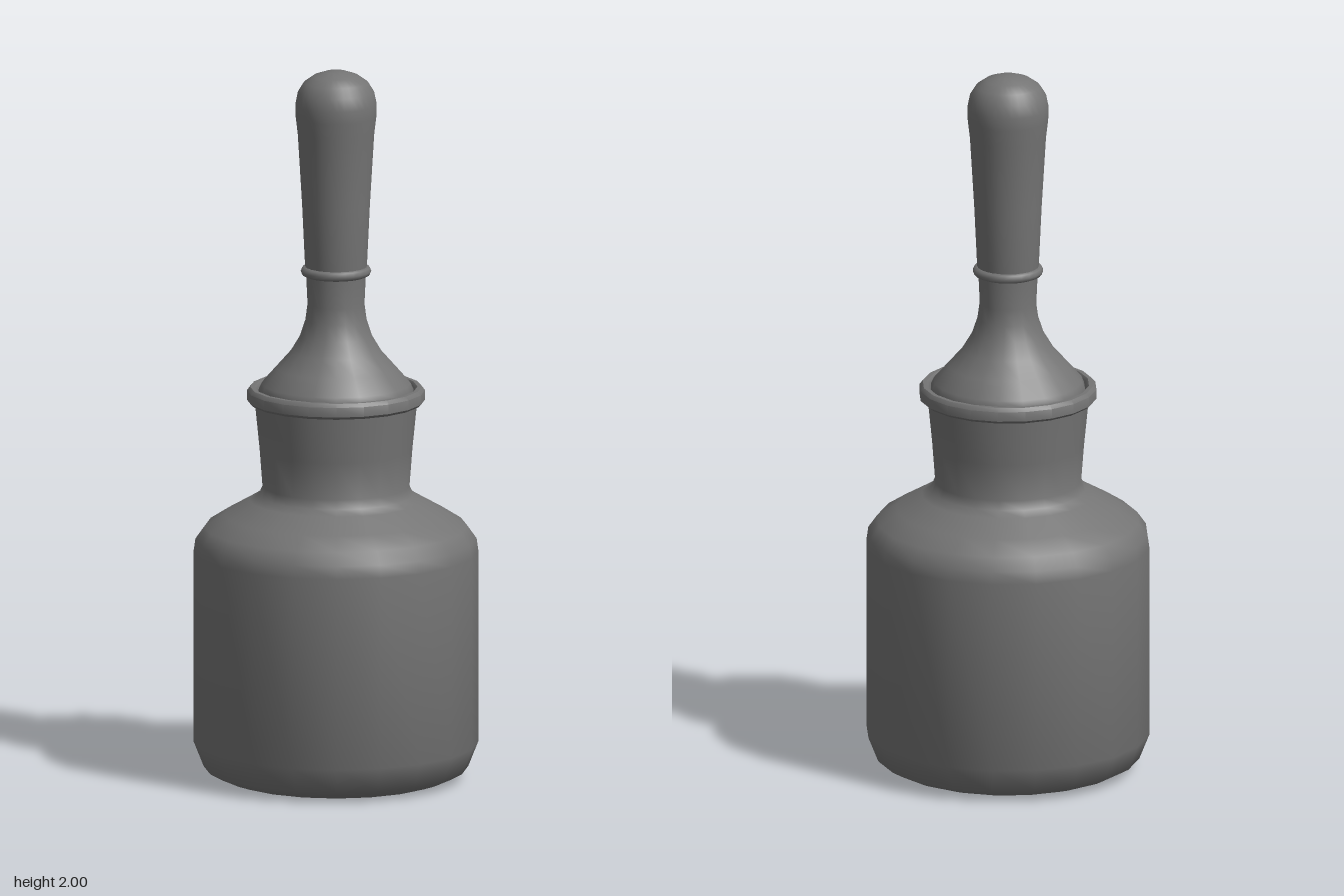
import * as THREE from 'three';
import { toCreasedNormals } from 'three/addons/utils/BufferGeometryUtils.js';

const material = new THREE.MeshStandardMaterial({ color: 0x747474 });

// Turned part from [radius, height] pairs, listed upward along the outside
function turned(name, profile, sides) {
  const points = profile.map(([r, y]) => new THREE.Vector2(r, y));
  const geometry = toCreasedNormals(new THREE.LatheGeometry(points, sides), 0.75);
  const mesh = new THREE.Mesh(geometry, material);
  mesh.name = name;
  return mesh;
}

export function createModel() {
  const group = new THREE.Group();
  group.name = 'stopperedBottle';

  // Flat base disc, kept separate for a crisp edge
  group.add(turned('bottleBase', [[0, 0], [0.3, 0]], 20));

  // Body with rounded foot, sloped shoulder and flared neck
  group.add(turned('bottleBody', [
    [0.3, 0], [0.335, 0.012], [0.367, 0.03], [0.395, 0.1],
    [0.395, 0.64], [0.39, 0.675], [0.365, 0.71], [0.31, 0.745],
    [0.24, 0.785], [0.215, 0.8], [0.204, 0.825], [0.212, 0.93], [0.226, 1.07],
  ], 20));

  // Rounded lip, turning down inside to meet the stopper
  group.add(turned('bottleLip', [
    [0.222, 1.06], [0.238, 1.06], [0.247, 1.068], [0.247, 1.095],
    [0.238, 1.105], [0.226, 1.105], [0.22, 1.098], [0.218, 1.075], [0.2, 1.07],
  ], 20));

  // Stopper: bell-shaped base rising to a slim neck
  group.add(turned('stopperBase', [
    [0, 1.07], [0.214, 1.07], [0.215, 1.097], [0.207, 1.115], [0.167, 1.16],
    [0.127, 1.205], [0.1, 1.25], [0.085, 1.295], [0.079, 1.34], [0.083, 1.425],
  ], 20));

  // Collar ring between stopper and handle
  const collar = new THREE.Mesh(new THREE.TorusGeometry(0.084, 0.014, 8, 24), material);
  collar.name = 'collarRing';
  collar.rotation.x = Math.PI / 2;
  collar.position.y = 1.433;
  group.add(collar);

  // Handle widening to a domed knob
  group.add(turned('handle', [
    [0.083, 1.425], [0.086, 1.45], [0.094, 1.62], [0.106, 1.82], [0.112, 1.87],
    [0.113, 1.905], [0.106, 1.94], [0.089, 1.967], [0.062, 1.986],
    [0.03, 1.997], [0, 2],
  ], 32));

  return group;
}
